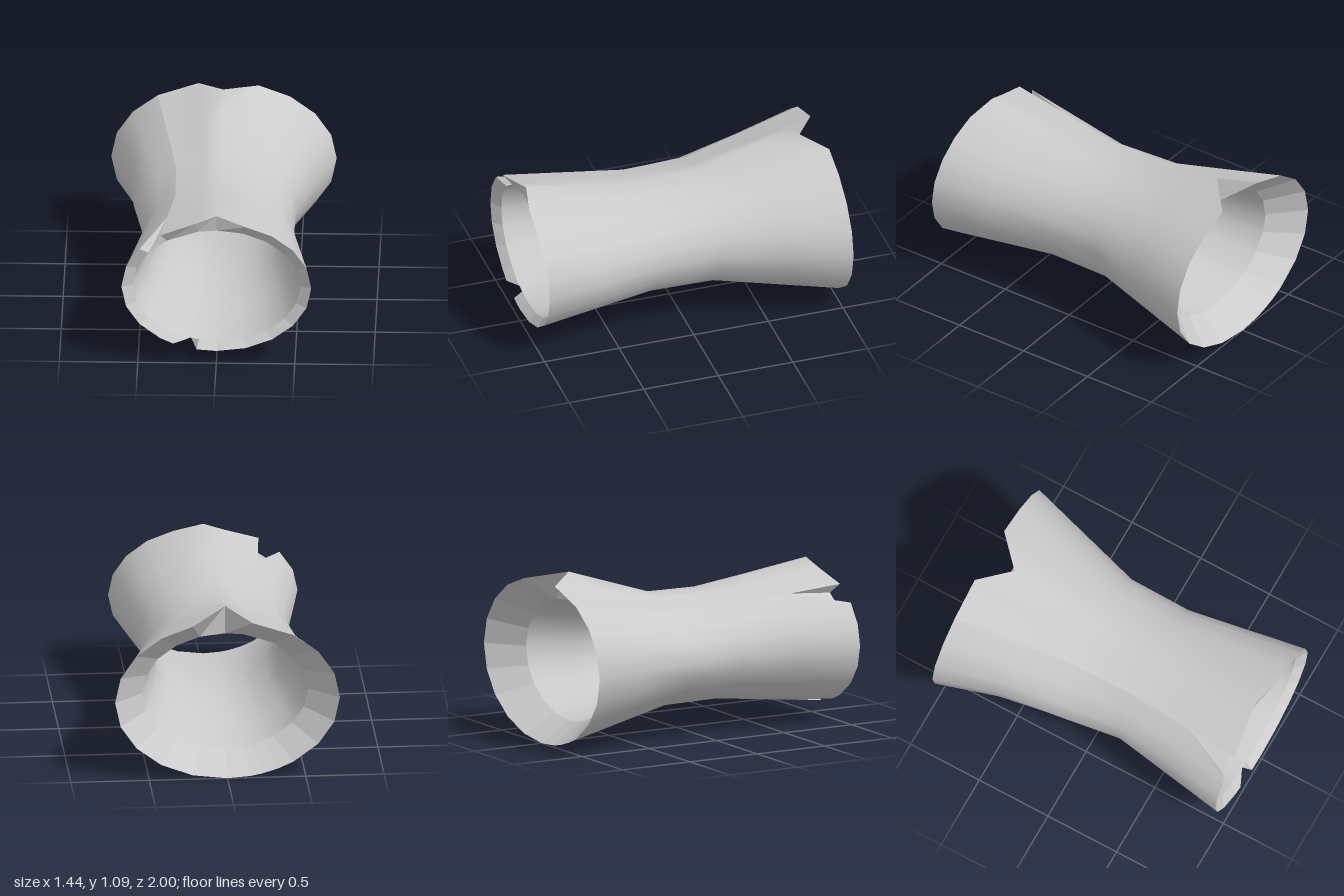
import * as THREE from 'three';

// Piecewise-linear lookup; stops are [z, radiusX, radiusY], z descending
const OUTER = [[1, 0.605, 0.445], [0.22, 0.475, 0.355], [-0.2, 0.48, 0.36], [-1, 0.718, 0.53]];
const INNER = [[0.95, 0.535, 0.385], [0.2, 0.4, 0.285], [-0.2, 0.4, 0.285], [-0.8, 0.53, 0.39]];

function radii(stops, z) {
  let i = 0;
  while (i < stops.length - 2 && z < stops[i + 1][0]) i++;
  const [z0, x0, y0] = stops[i], [z1, x1, y1] = stops[i + 1];
  const t = (z - z0) / (z1 - z0);
  return [x0 + (x1 - x0) * t, y0 + (y1 - y0) * t];
}

// Columns round the cuff: [angle in degrees, front edge z, back edge z]
// The edges dip where the rims are notched.
const COLUMNS = [
  [0, 1, -1], [18, 1, -1], [36, 1, -1], [54, 1, -1], [72, 1, -1],
  [90, 0.96, -0.8], [103, 0.975, -1],
  [126, 1, -1], [126, 0.65, -1], [144, 1, -1],
  [162, 1, -1], [180, 1, -1], [198, 1, -1], [216, 1, -1], [234, 1, -1],
  [243, 1, -1], [252, 0.82, -1], [258, 1, -1],
  [270, 1, -1], [288, 1, -1], [306, 1, -1], [324, 1, -1], [342, 1, -1],
];

function outerPoint(deg, z) {
  const a = THREE.MathUtils.degToRad(deg), c = Math.cos(a), s = Math.sin(a);
  const [rx, ry] = radii(OUTER, z);
  // ridge along the top that rises toward both ends
  const ridge = deg === 90 ? Math.max(0, z > 0 ? (z - 0.3) * 0.06 : (-z - 0.1) * 0.11) : 0;
  // swelling on one side, just behind the waist
  const swell = 0.07 * Math.max(0, -c) ** 6 * Math.max(0, 1 - Math.abs(z + 0.2) / 0.4);
  return [rx * c - swell, 0.53 + ry * s + ridge, z];
}

function innerPoint(deg, z) {
  const a = THREE.MathUtils.degToRad(deg);
  const [rx, ry] = radii(INNER, z);
  return [rx * Math.cos(a), 0.52 + ry * Math.sin(a), z];
}

// Joins columns of points into a closed band
function band(name, columns, flat) {
  const rows = columns[0].length, index = [];
  columns.forEach((_, i) => {
    const a = i * rows, b = ((i + 1) % columns.length) * rows;
    for (let j = 0; j < rows - 1; j++) {
      index.push(a + j, a + j + 1, b + j, b + j, a + j + 1, b + j + 1);
    }
  });
  const geometry = new THREE.BufferGeometry();
  geometry.setAttribute('position', new THREE.Float32BufferAttribute(columns.flat(2), 3));
  geometry.setIndex(index);
  geometry.computeVertexNormals();
  const mesh = new THREE.Mesh(geometry, new THREE.MeshStandardMaterial({
    color: 0xcccccc, flatShading: flat, side: THREE.DoubleSide,
  }));
  mesh.name = name;
  return mesh;
}

export function createModel() {
  const group = new THREE.Group();
  group.name = 'flaredCuff';

  // Outer wall, waisted in the middle
  group.add(band('outerWall', COLUMNS.map(([a, f, b]) =>
    [f, 0.6, 0.22, -0.2, -0.6, b].map((z) => outerPoint(a, z))), false));

  // Bore, facing inward
  group.add(band('innerWall', COLUMNS.map(([a]) =>
    [-0.8, -0.5, -0.2, 0.2, 0.57, 0.95].map((z) => innerPoint(a, z))), false));

  // Faceted bevels that join the two walls at each end
  group.add(band('frontRim', COLUMNS.map(([a, f]) =>
    [innerPoint(a, 0.95), outerPoint(a, f)]), true));
  group.add(band('backRim', COLUMNS.map(([a, , b]) =>
    [outerPoint(a, b), innerPoint(a, -0.8)]), true));

  return group;
}
